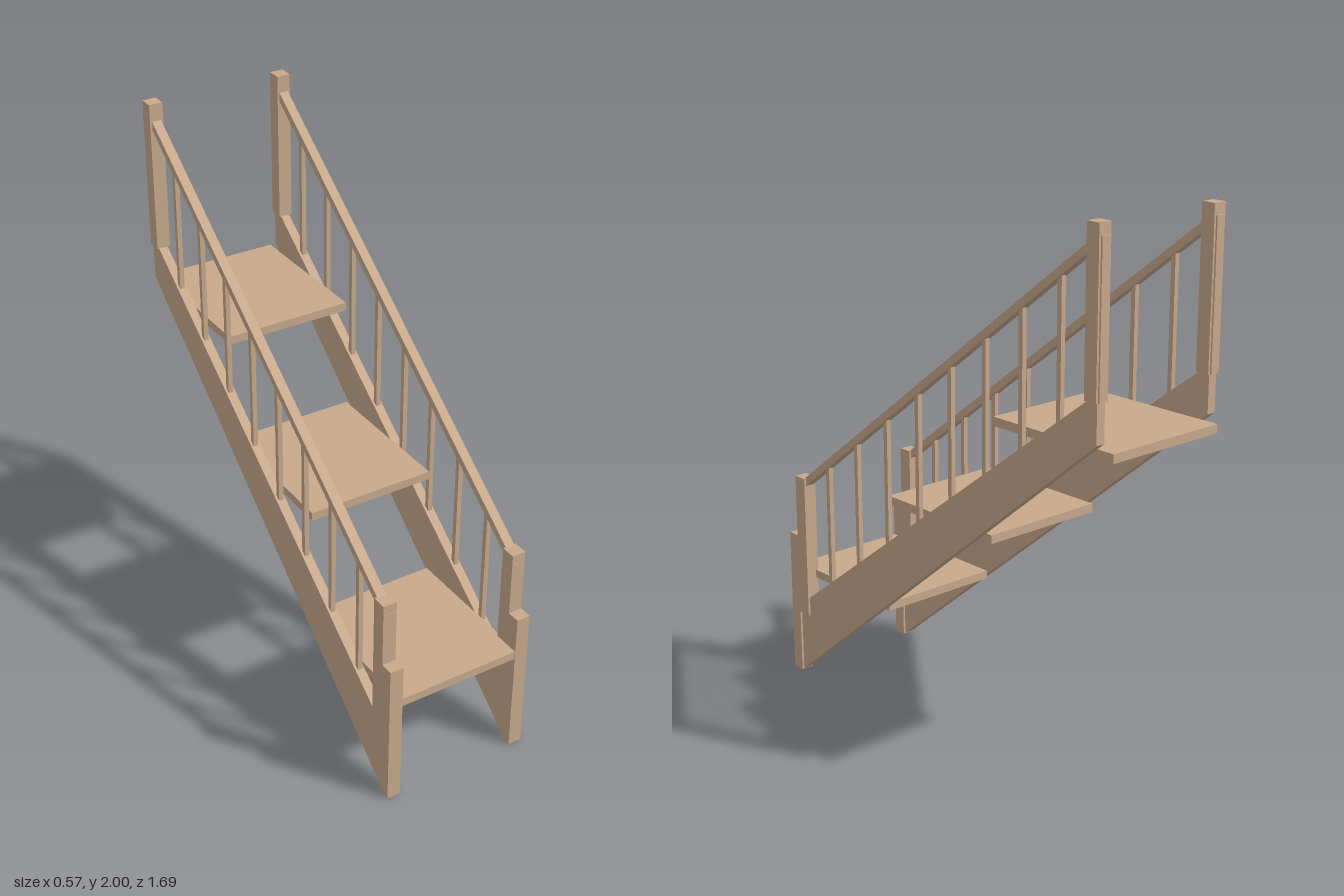
import * as THREE from 'three';

export function createModel() {
  const model = new THREE.Group();
  model.name = 'staircase';
  const wood = new THREE.MeshStandardMaterial({ color: 0xc8a98c });
  wood.name = 'light wood';

  // Box given by its limits on each axis
  function box(name, parent, [x0, x1], [y0, y1], [z0, z1]) {
    const mesh = new THREE.Mesh(new THREE.BoxGeometry(x1 - x0, y1 - y0, z1 - z0), wood);
    mesh.position.set((x0 + x1) / 2, (y0 + y1) / 2, (z0 + z1) / 2);
    mesh.name = name;
    parent.add(mesh);
  }

  // Side profile of [z, y] points, extruded across x and centred on the group
  function profile(name, parent, points, width) {
    const shape = new THREE.Shape(points.map(([z, y]) => new THREE.Vector2(-z, y)));
    const geometry = new THREE.ExtrudeGeometry(shape, { depth: width, bevelEnabled: false });
    geometry.translate(0, 0, -width / 2);
    geometry.rotateY(Math.PI / 2);
    const mesh = new THREE.Mesh(geometry, wood);
    mesh.name = name;
    parent.add(mesh);
  }

  const stringerTop = (z) => 0.32 + (0.74 - z) * 0.747;
  const railTop = (z) => 0.815 + (0.74 - z) * 0.752;

  for (const side of [-1, 1]) {
    const flank = new THREE.Group();
    flank.name = side > 0 ? 'leftSide' : 'rightSide';
    flank.position.x = side * 0.26;
    model.add(flank);

    // Sloping stringer and handrail
    profile('stringer', flank, [
      [0.797, 0], [-0.8, 1.3], [-0.8, 1.44], [-0.75, 1.433], [0.797, stringerTop(0.797)],
    ], 0.035);
    profile('handrail', flank, [
      [0.797, railTop(0.797) - 0.034], [-0.77, railTop(-0.77) - 0.034],
      [-0.77, railTop(-0.77)], [0.797, railTop(0.797)],
    ], 0.035);

    // Stepped bottom newel
    box('lowerNewelFront', flank, [-0.026, 0.026], [0, 0.567], [0.795, 0.845]);
    box('lowerNewelBack', flank, [-0.026, 0.026], [0.247, 0.81], [0.74, 0.796]);

    // Top newel with a narrow strip on its back
    box('upperNewel', flank, [-0.026, 0.026], [1.438, 2], [-0.803, -0.75]);
    box('upperNewelStrip', flank, [-0.0175, 0.0175], [1.438, 1.96], [-0.809, -0.8]);

    // Balusters
    for (let i = 0; i < 8; i++) {
      const z = 0.612 - i * 0.176;
      box('baluster', flank, [-0.009, 0.009],
        [stringerTop(z) - 0.02, railTop(z) - 0.02], [z - 0.009, z + 0.009]);
    }
  }

  // Three deep treads
  for (let i = 0; i < 3; i++) {
    const z = 0.565 - i * 0.565;
    const y = 0.413 + i * 0.424;
    box('tread', model, [-0.244, 0.244], [y - 0.016, y + 0.016], [z - 0.278, z + 0.278]);
  }
  return model;
}
